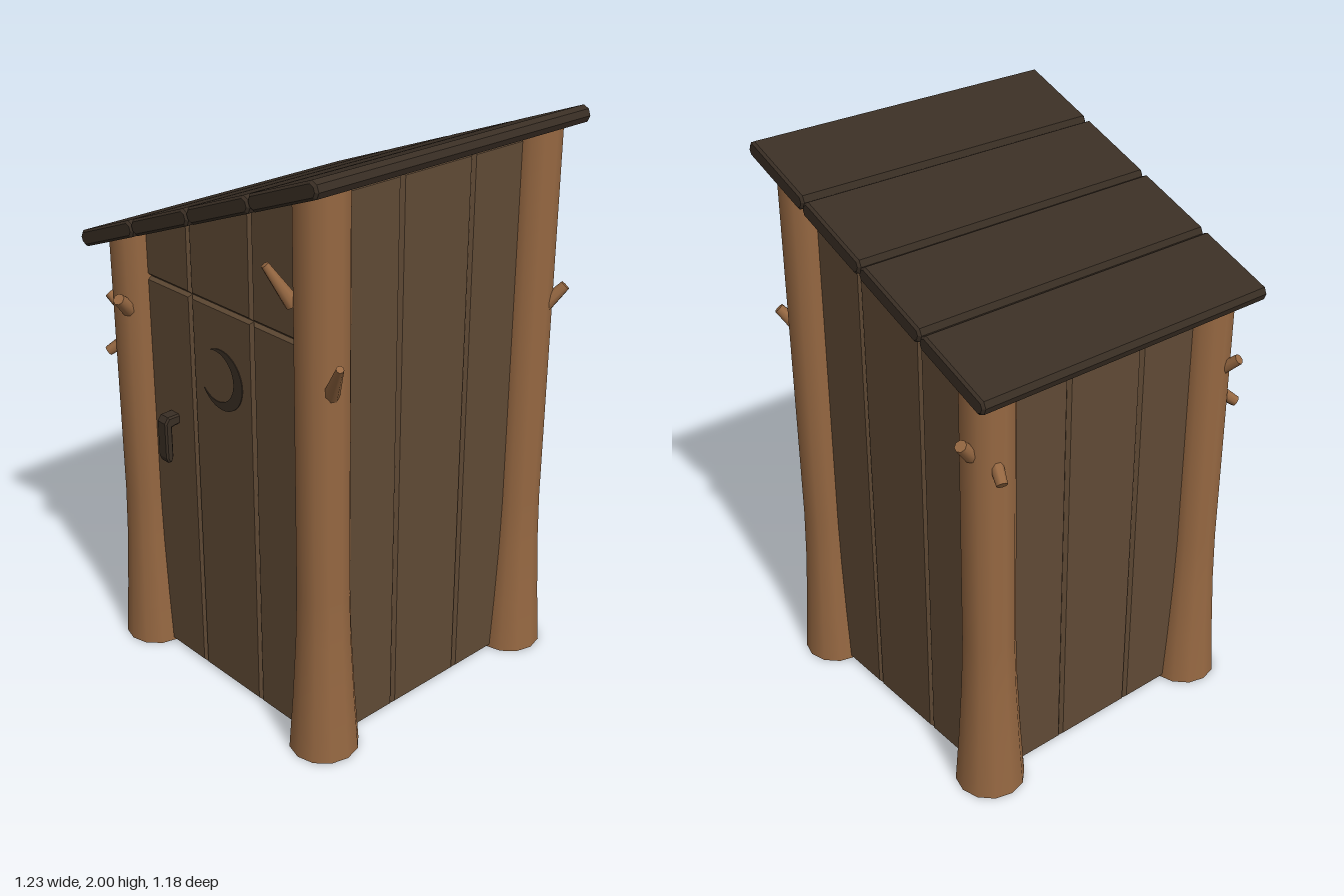
import * as THREE from 'three';

const mat = (name, color, side = THREE.FrontSide) => {
  const m = new THREE.MeshStandardMaterial({ color, side });
  m.name = name;
  return m;
};

const SLOPE = THREE.MathUtils.degToRad(21);
const ROOF = { x: -0.03, y: 1.753, thick: 0.055, length: 1.25, depth: 1.17 };
const POST_X = [-0.48, 0.44], POST_Z = 0.46, MID_X = -0.02;

// height of the roof's underside at a given x
const underRoof = (x) =>
  ROOF.y + (x - ROOF.x) * Math.tan(SLOPE) - ROOF.thick / 2 / Math.cos(SLOPE);

export function createModel() {
  const bark = mat('bark', 0x966842, THREE.DoubleSide);
  const plank = mat('plank', 0x604a35);
  const dark = mat('darkWood', 0x392e24);
  const model = new THREE.Group();
  model.name = 'outhouse';

  const add = (parent, name, geometry, material) => {
    const mesh = new THREE.Mesh(geometry, material);
    mesh.name = name;
    parent.add(mesh);
    return mesh;
  };

  // flat outline pushed to a centred slab with chamfered edges
  const slab = (points, depth, bevel) => {
    const shape = new THREE.Shape(points.map(([x, y]) => new THREE.Vector2(x, y)));
    const g = new THREE.ExtrudeGeometry(shape, {
      depth: depth - 2 * bevel, bevelEnabled: true, bevelSegments: 1,
      bevelSize: bevel, bevelThickness: bevel, bevelOffset: -bevel,
    });
    return g.translate(0, 0, bevel - depth / 2);
  };

  // walls: three planks each, running between post centres
  const wall = (name, y0, y1, topAt) => {
    const group = new THREE.Group();
    group.name = name;
    const w = (2 * POST_Z) / 3;
    for (let i = 0; i < 3; i++) {
      const a = -POST_Z + i * w, b = a + w;
      const top = (u) => y1 ?? topAt(u) + 0.008;
      add(group, name + 'Plank', slab([[a, y0], [b, y0], [b, top(b)], [a, top(a)]], 0.03, 0.011), plank);
    }
    model.add(group);
    return group;
  };
  const slanted = (u) => underRoof(u + MID_X);
  const door = wall('door', 0, 1.43);
  const lintel = wall('upperFrontWall', 1.43, undefined, slanted);
  const back = wall('backWall', 0, undefined, slanted);
  door.position.set(MID_X, 0, POST_Z);
  lintel.position.set(MID_X, 0, POST_Z);
  back.position.set(MID_X, 0, -POST_Z);
  POST_X.forEach((x, i) => {
    const side = wall(i ? 'leftWall' : 'rightWall', 0, undefined, () => underRoof(x));
    side.rotation.y = Math.PI / 2;
    side.position.x = x;
  });

  // corner posts: flared trunks cut to the roof slope
  const profile = [[0.118, 0], [0.104, 0.2], [0.092, 0.42], [0.087, 0.6], [0.086, 1.4]]
    .map(([r, y]) => new THREE.Vector2(r, y));
  for (const x of POST_X) for (const z of [-POST_Z, POST_Z]) {
    const g = new THREE.LatheGeometry(profile, 12);
    const p = g.attributes.position;
    for (let i = 0; i < p.count; i++) {
      if (p.getY(i) > 1.3) p.setY(i, underRoof(x + p.getX(i)) + 0.004);
    }
    add(model, 'cornerPost', g, bark).position.set(x, 0, z);
  }

  // broken twigs: start, end, base radius, tip radius
  const twigs = [
    [[0.49, 1.30, 0.475], [0.602, 1.45, 0.54], 0.028, 0.012],
    [[0.375, 1.575, 0.515], [0.328, 1.70, 0.58], 0.026, 0.013],
    [[-0.452, 1.31, 0.52], [-0.432, 1.365, 0.575], 0.028, 0.02],
    [[-0.54, 1.27, 0.48], [-0.595, 1.32, 0.50], 0.022, 0.018],
    [[-0.53, 1.16, 0.51], [-0.557, 1.13, 0.545], 0.022, 0.018],
    [[-0.54, 1.29, -0.48], [-0.595, 1.245, -0.50], 0.022, 0.018],
    [[-0.49, 1.31, -0.53], [-0.50, 1.365, -0.578], 0.025, 0.02],
    [[0.49, 1.32, -0.48], [0.54, 1.40, -0.535], 0.028, 0.018],
  ];
  for (const [from, to, r0, r1] of twigs) {
    const a = new THREE.Vector3(...from), b = new THREE.Vector3(...to);
    const dir = b.clone().sub(a);
    const twig = add(model, 'twig', new THREE.CylinderGeometry(r1, r0, dir.length(), 8), bark);
    twig.position.copy(a).lerp(b, 0.5);
    twig.quaternion.setFromUnitVectors(new THREE.Vector3(0, 1, 0), dir.normalize());
  }

  // roof: four chamfered boards laid side by side down the slope
  const roof = new THREE.Group();
  roof.name = 'roof';
  const bw = ROOF.length / 4, h = ROOF.thick / 2, c = 0.016;
  for (let i = 0; i < 4; i++) {
    const w = bw / 2;
    const outline = [
      [-w, -h + c], [-w + c, -h], [w - c, -h], [w, -h + c],
      [w, h - c], [w - c, h], [-w + c, h], [-w, h - c],
    ];
    add(roof, 'roofBoard', slab(outline, ROOF.depth, 0.008), dark).position.x = (i - 1.5) * bw;
  }
  roof.rotation.z = SLOPE;
  roof.position.set(ROOF.x, ROOF.y, 0);
  model.add(roof);

  // crescent on the door: outer arc closed by an inner arc
  const axis = THREE.MathUtils.degToRad(167), half = THREE.MathUtils.degToRad(44.5);
  const R = 0.106, d = 0.027, r = 0.089;
  const inner = Math.atan2(R * Math.sin(half), R * Math.cos(half) - d);
  const moon = new THREE.Shape();
  moon.absarc(0, 0, R, axis + half, axis - half + 2 * Math.PI, false);
  moon.absarc(d * Math.cos(axis), d * Math.sin(axis), r, axis - inner + 2 * Math.PI, axis + inner, true);
  add(model, 'crescent', new THREE.ExtrudeGeometry(moon, { depth: 0.004, bevelEnabled: false, curveSegments: 20 }), dark)
    .position.set(-0.025, 1.18, POST_Z + 0.014);

  // door handle: strap bent out from the door
  const strap = [[0, 0.97], [0, 0.935], [0.035, 0.93], [0.035, 0.82], [0.042, 0.80],
    [0.056, 0.80], [0.064, 0.82], [0.064, 0.95], [0.05, 0.97]];
  add(model, 'doorHandle', slab(strap, 0.05, 0.006).rotateY(-Math.PI / 2), dark)
    .position.set(-0.288, 0, POST_Z + 0.01);

  return model;
}
